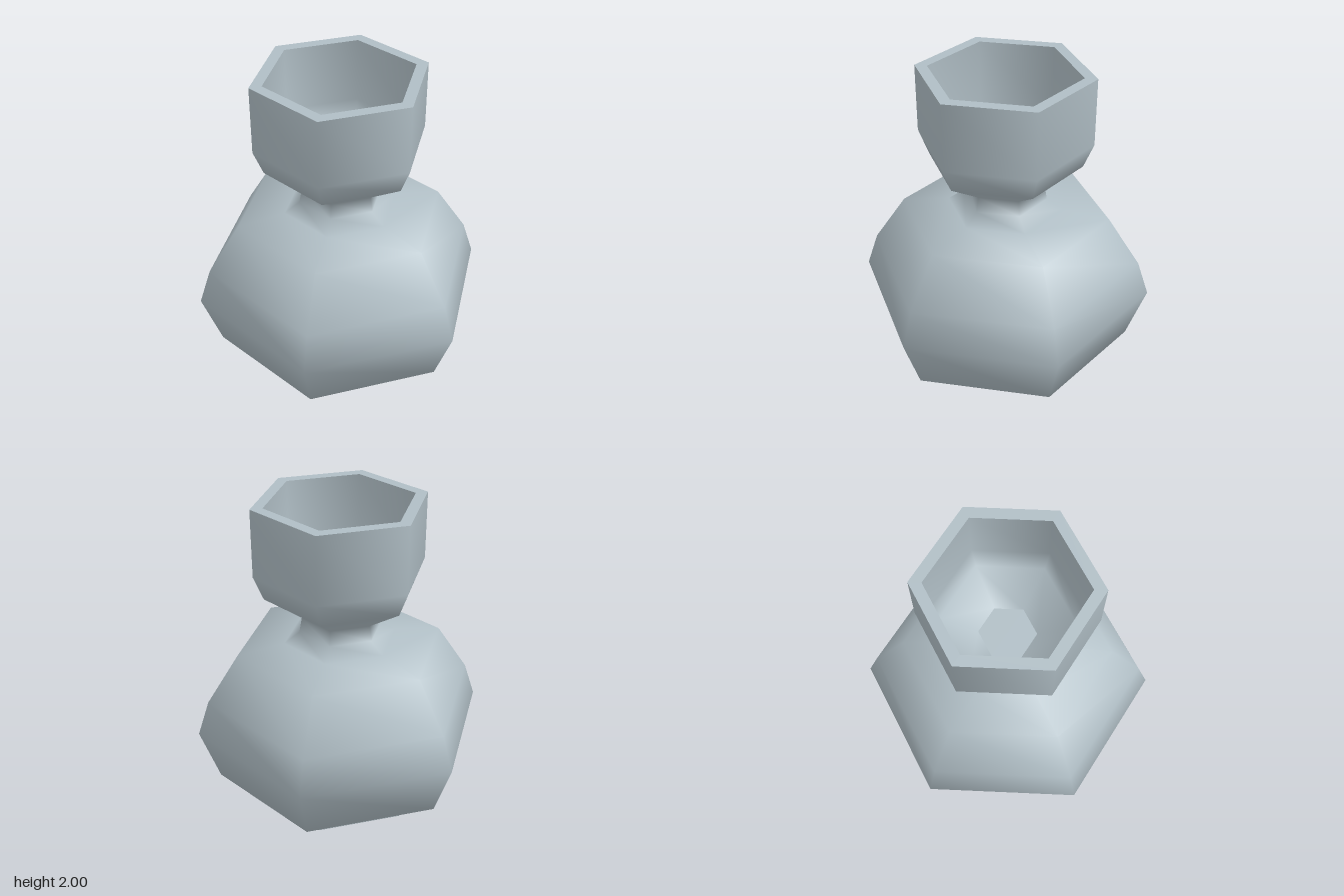
import * as THREE from 'three';

const SIDES = 6;

// Six-sided turned surface with a corner on the x axis
function turned(name, profile, material, flat = false) {
  const points = profile.map(([r, y]) => new THREE.Vector2(r, y));
  let geometry = new THREE.LatheGeometry(points, SIDES, Math.PI / 2);
  if (flat) {
    geometry = geometry.toNonIndexed();
    geometry.computeVertexNormals();
  }
  const mesh = new THREE.Mesh(geometry, material);
  mesh.name = name;
  return mesh;
}

export function createModel() {
  const group = new THREE.Group();
  group.name = 'vase';
  const glaze = new THREE.MeshStandardMaterial({ color: 0xb0bec5 });
  glaze.name = 'pale blue grey';

  group.add(
    // Flat-sided foot with a closed underside
    turned('foot', [[0, 0], [0.53, 0], [0.53, 0.08]], glaze, true),

    // Smooth outer wall: bulb, narrow neck and cup
    turned('outerWall', [
      [0.53, 0.08], [0.8, 0.21], [0.918, 0.55], [0.845, 0.77],
      [0.645, 1.075], [0.355, 1.115], [0.26, 1.18], [0.243, 1.275],
      [0.47, 1.43], [0.53, 1.58], [0.53, 2],
    ], glaze),

    // Flat rim
    turned('rim', [[0.53, 2], [0.455, 2]], glaze, true),

    // Smooth hollow of the cup
    turned('innerWall', [[0.455, 2], [0.455, 1.6], [0.405, 1.48], [0.175, 1.32]], glaze),

    // Flat floor of the cup
    turned('cupFloor', [[0.175, 1.32], [0, 1.32]], glaze, true),
  );
  return group;
}
